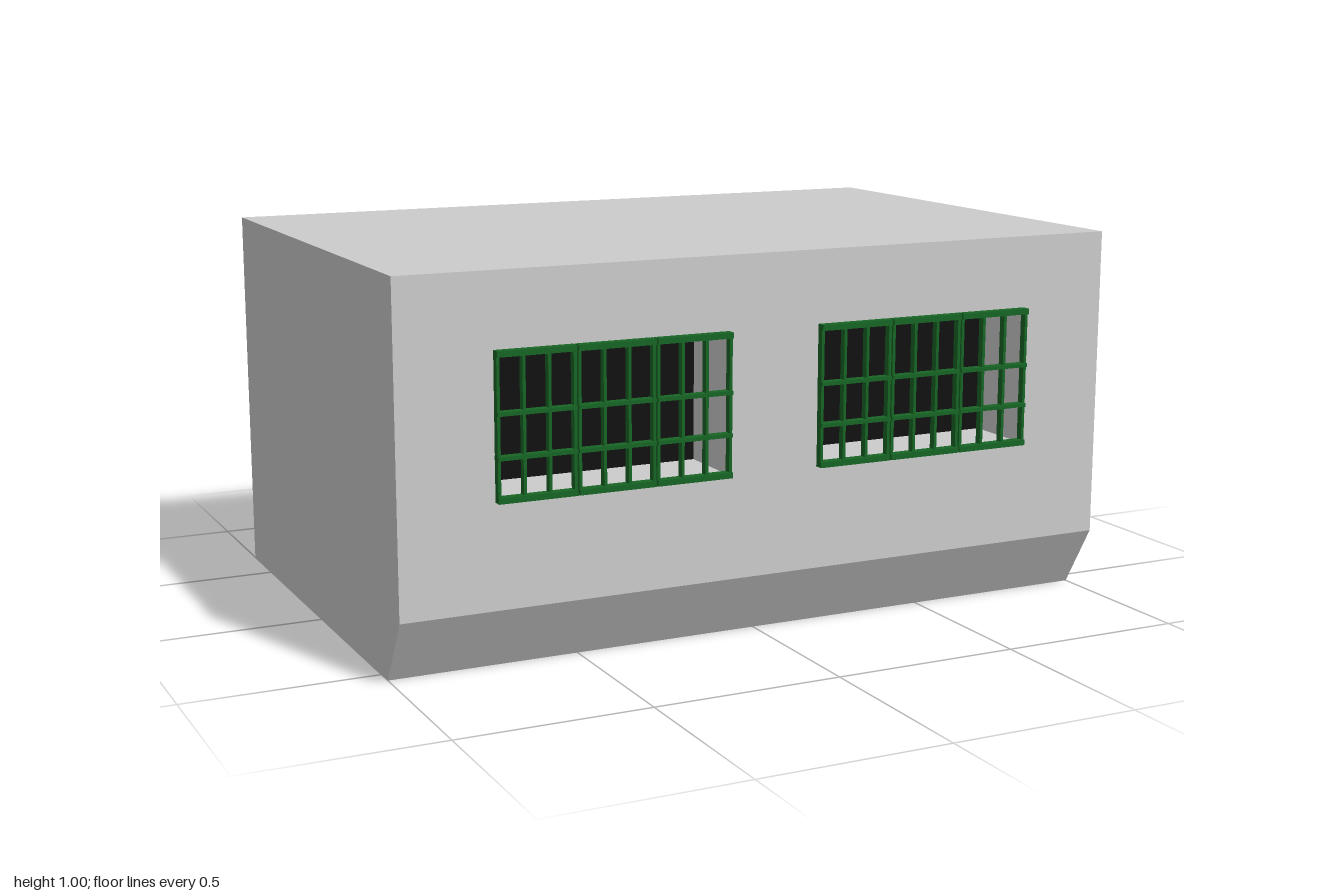
import * as THREE from 'three';

const FRONT = 0.65, DEPTH = 0.2;                  // front wall plane, recess depth
const GRILLE = { x: 0.125, y: 0.44, w: 0.63, h: 0.37, d: 0.025 };

const grey = new THREE.MeshStandardMaterial({ color: 0xcccccc, flatShading: true });
const green = new THREE.MeshStandardMaterial({ color: 0x176524, flatShading: true });
const black = new THREE.MeshStandardMaterial({ color: 0x111111, flatShading: true });

function addMesh(parent, name, geometry, material) {
  const mesh = new THREE.Mesh(geometry, material);
  mesh.name = name;
  parent.add(mesh);
  return mesh;
}

function addBox(parent, name, material, w, h, d, x, y, z) {
  addMesh(parent, name, new THREE.BoxGeometry(w, h, d), material).position.set(x, y, z);
}

// Rectangular outline from its lower left corner
function rectangle(Type, x, y, w, h) {
  return new Type([[x, y], [x + w, y], [x + w, y + h], [x, y + h]].map(p => new THREE.Vector2(...p)));
}

// Three ladder panels side by side: upright bars crossed by four rails
function createGrille(name) {
  const { w, h, d, y } = GRILLE;
  const grille = new THREE.Group();
  grille.name = name;
  const panelWidth = w / 3, gap = 0.004, bar = 0.008, columns = 3;
  const rails = [[0.0075, 0.015], [0.11, 0.01], [0.218, 0.01], [h - 0.0075, 0.015]];
  for (let p = 0; p < 3; p++) {
    const panel = new THREE.Group();
    panel.name = 'grillePanel';
    panel.position.set((p - 1) * panelWidth, y, FRONT + d / 2);
    const width = panelWidth - gap;
    for (const [railY, thick] of rails) addBox(panel, 'rail', green, width, thick, d, 0, railY, 0);
    for (let i = 0; i <= columns; i++) {
      const x = (i / columns - 0.5) * (width - bar);
      addBox(panel, 'uprightBar', green, bar, h - 0.02, d - 0.006, x, h / 2, -0.002);
    }
    grille.add(panel);
  }
  return grille;
}

export function createModel() {
  const model = new THREE.Group();
  model.name = 'grilledBlock';

  // Main block with the sloped lower front edge, profile in z and y
  const profile = new THREE.Shape([
    [-0.675, 0], [0.55, 0], [FRONT, 0.17], [FRONT - DEPTH, 0.17], [FRONT - DEPTH, 1], [-0.675, 1],
  ].map(p => new THREE.Vector2(...p)));
  const block = new THREE.ExtrudeGeometry(profile, { depth: 2, bevelEnabled: false });
  block.rotateY(-Math.PI / 2).translate(1, 0, 0);
  addMesh(model, 'mainBlock', block, grey);

  // Front wall with two openings
  const { x, y, w, h } = GRILLE, inset = 0.005;
  const wall = rectangle(THREE.Shape, -1, 0.17, 2, 0.83);
  const centres = { leftGrille: x + w / 2, rightGrille: -x - w / 2 };
  for (const cx of Object.values(centres)) {
    wall.holes.push(rectangle(THREE.Path, cx - w / 2 + inset, y + inset, w - 2 * inset, h - 2 * inset));
  }
  const wallGeometry = new THREE.ExtrudeGeometry(wall, { depth: DEPTH, bevelEnabled: false });
  addMesh(model, 'frontWall', wallGeometry.translate(0, 0, FRONT - DEPTH), grey);

  // Dark recess backs and the grilles over the openings
  for (const [name, cx] of Object.entries(centres)) {
    addBox(model, 'recessBack', black, w - 2 * inset, h - 2 * inset, 0.01, cx, y + h / 2, FRONT - DEPTH + 0.005);
    const grille = createGrille(name);
    grille.position.x = cx;
    model.add(grille);
  }
  return model;
}
